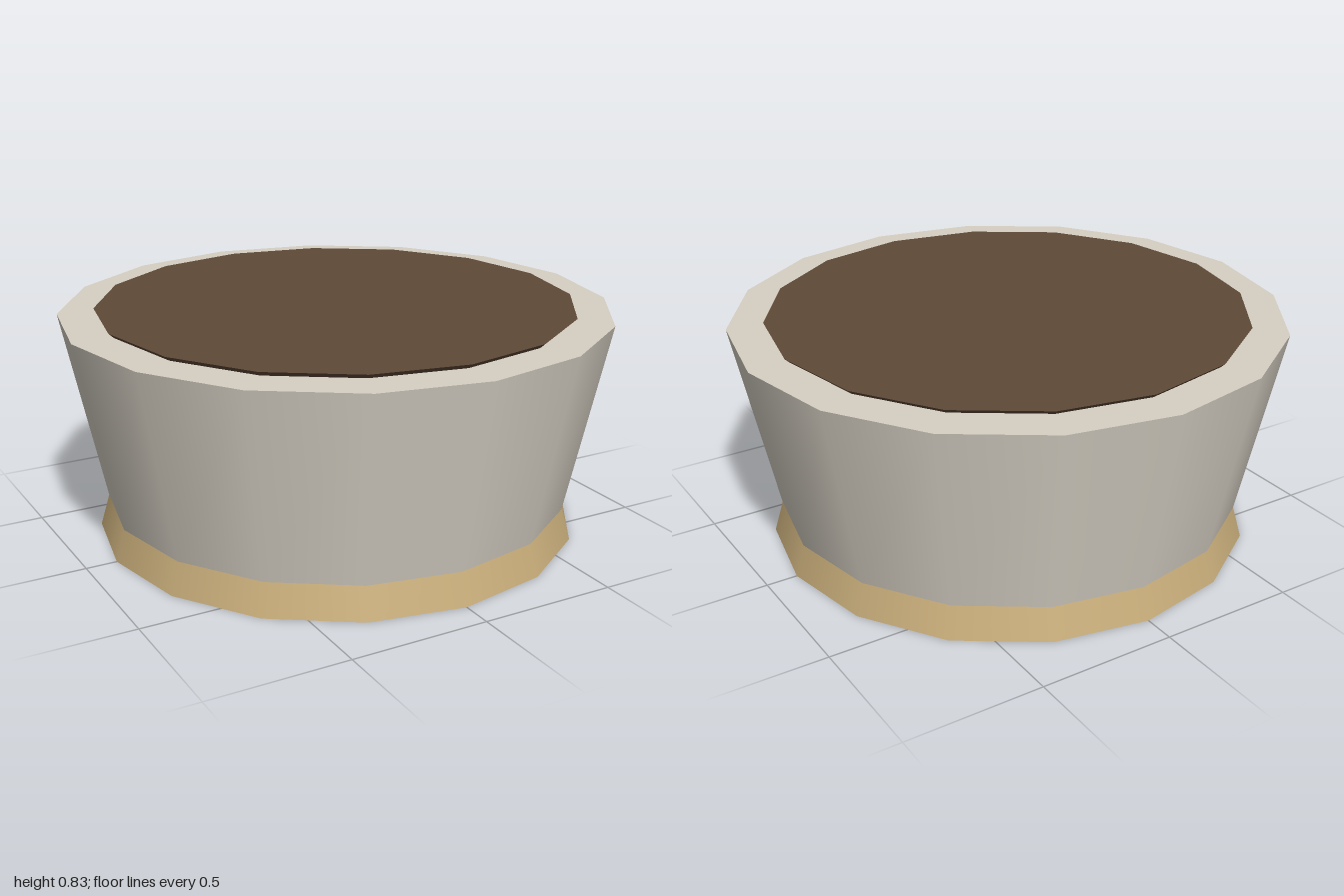
import * as THREE from 'three';

const SIDES = 16;

export function createModel() {
  const model = new THREE.Group();
  model.name = 'planter';

  const stone = new THREE.MeshStandardMaterial({ name: 'pale stone', color: 0xd6d0c4 });
  const tan = new THREE.MeshStandardMaterial({ name: 'tan', color: 0xc8ad7a });
  const soilBrown = new THREE.MeshStandardMaterial({ name: 'soil brown', color: 0x5e4936 });

  // Tapered 16-sided drum spanning bottom to top
  const drum = (name, topRadius, bottomRadius, bottom, top, material) => {
    const geometry = new THREE.CylinderGeometry(topRadius, bottomRadius, top - bottom, SIDES);
    const mesh = new THREE.Mesh(geometry, material);
    mesh.name = name;
    mesh.position.y = (bottom + top) / 2;
    model.add(mesh);
  };

  drum('foot', 0.853, 0.887, 0, 0.115, tan);
  drum('bowl', 1, 0.853, 0.115, 0.818, stone);
  // Soil widens upward and stands just proud of the rim
  drum('soil', 0.87, 0.8, 0.77, 0.835, soilBrown);

  return model;
}
